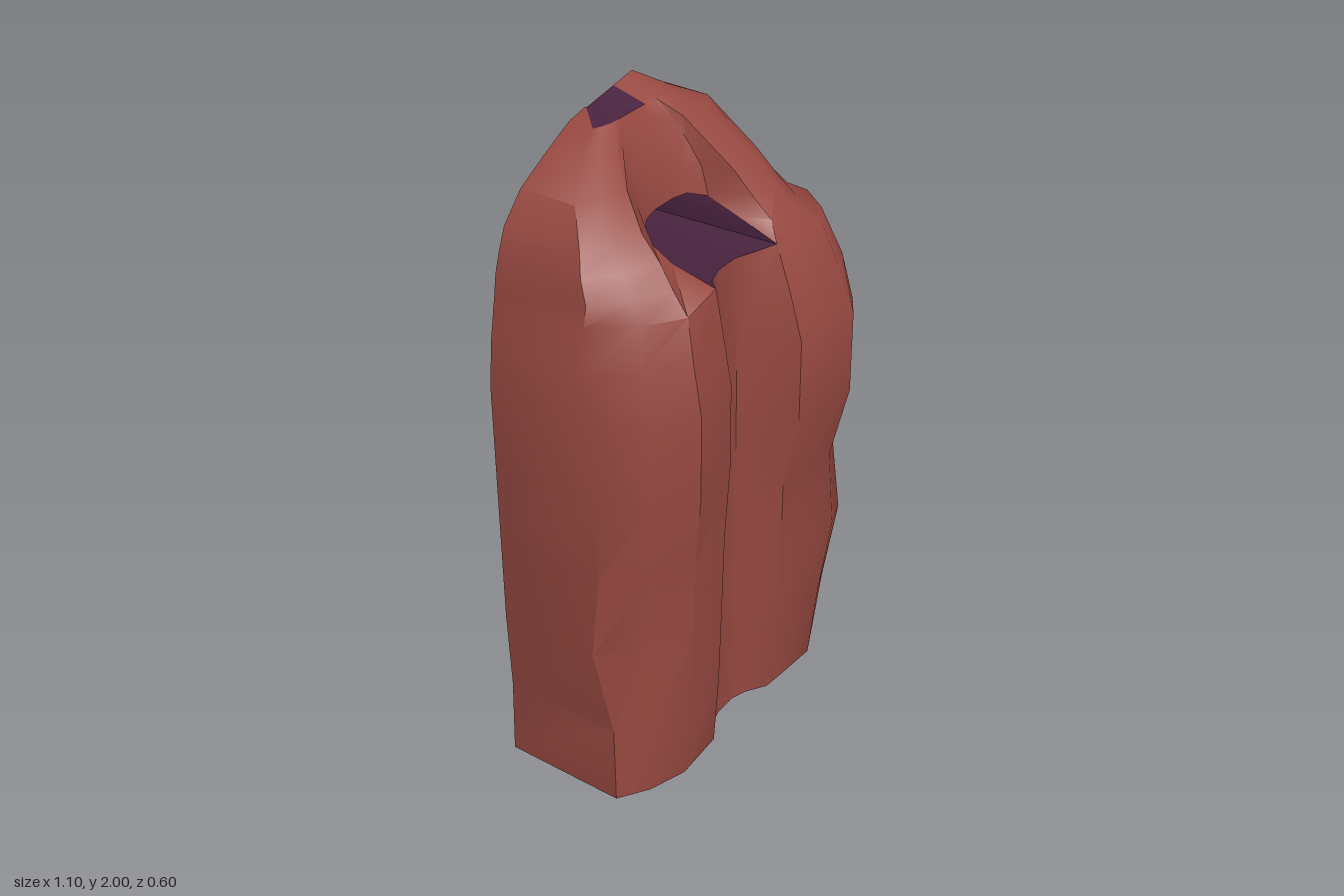
import * as THREE from 'three';
import { toCreasedNormals } from 'three/addons/utils/BufferGeometryUtils.js';

const BACK = -0.3;

// Horizontal slices: y, left x, left corner z, left lobe z, groove z, right lobe z, right corner z, right x
const ROWS = [
  [0, -0.55, 0.09, 0.19, 0.12, 0.19, 0.04, 0.5],
  [0.25, -0.54, 0.08, 0.21, 0.12, 0.21, 0.11, 0.52],
  [0.52, -0.55, 0.02, 0.22, 0.12, 0.24, 0.15, 0.55],
  [0.8, -0.55, 0.05, 0.23, 0.12, 0.24, 0.13, 0.5],
  [1.05, -0.55, 0.05, 0.25, 0.12, 0.3, 0.16, 0.5],
  [1.31, -0.55, 0.03, 0.25, 0.12, 0.3, 0.15, 0.5],
  [1.45, -0.535, 0, 0.22, 0.12, 0.25, 0.14, 0.49],
  [1.58, -0.51, 0, 0.19, 0.11, 0.19, 0.05, 0.48],
  [1.64, -0.5, 0, 0.14, 0.02, 0.14, 0.04, 0.385],
  [1.7, -0.48, -0.03, 0.09, -0.1, 0.08, -0.05, 0.38],
  [1.76, -0.455, -0.05, 0.02, -0.11, 0.02, -0.1, 0.37],
  [1.84, -0.38, -0.12, -0.06, -0.14, -0.07, -0.14, 0.32],
  [1.9, -0.27, -0.18, -0.14, -0.17, -0.13, -0.16, 0.275],
  [1.95, -0.17, -0.22, -0.2, -0.2, -0.19, -0.22, 0.18],
  [1.982, -0.1, -0.295, -0.295, -0.295, -0.295, -0.295, 0.105],
];

// Columns between the two corners: nominal x, and how far the lobe rises out of the groove
const COLS = [
  [-0.46, 1], [-0.34, 1], [-0.17, 0.85], [-0.12, 0.25], [-0.06, 0],
  [0.02, 0], [0.07, 0.25], [0.13, 0.8], [0.22, 0.9], [0.35, 1], [0.43, 1],
];

// The opening takes these rows and columns out of the front
const HOLE = { r0: 7, r1: 9, c0: 4, c1: 9 };

function slice([y, xl, zl, pl, groove, pr, zr, xr], r) {
  const points = [new THREE.Vector3(xl, y, BACK), new THREE.Vector3(xl, y, zl)];
  COLS.forEach(([u, rise], i) => {
    const left = u < 0;
    const s = left ? xl / -0.55 : xr / 0.5;
    const inner = Math.abs(u) < 0.2;
    const x = u * (inner ? Math.min(1, 1.4 * s) : s);
    const lift = inner && y > 1.6 ? rise * 0.3 : rise;
    let z = THREE.MathUtils.lerp(groove, left ? pl : pr, lift);
    if (i === 0) z = THREE.MathUtils.lerp(pl, zl, 0.4);
    if (i === COLS.length - 1) z = THREE.MathUtils.lerp(pr, zr, 0.35);
    points.push(new THREE.Vector3(x, y, z));
  });
  points.push(new THREE.Vector3(xr, y, zr), new THREE.Vector3(Math.min(xr, 0.5), y, BACK));
  // The crest tilts up to the right
  if (r === ROWS.length - 1) points.forEach((p) => { p.y += 0.018 * p.x / 0.105; });
  return points;
}

function quad(out, a, b, c, d) {
  for (const p of [a, b, c, a, c, d]) out.push(p.x, p.y, p.z);
}

function creased(positions, angle) {
  const g = new THREE.BufferGeometry();
  g.setAttribute('position', new THREE.Float32BufferAttribute(positions, 3));
  return toCreasedNormals(g, angle);
}

export function createModel() {
  const group = new THREE.Group();
  const red = new THREE.MeshStandardMaterial({ color: 0x964840 });
  red.name = 'red rock';
  const purple = new THREE.MeshStandardMaterial({ color: 0x49233f });
  purple.name = 'dark purple rock';
  const add = (name, geometry, material) => {
    const mesh = new THREE.Mesh(geometry, material);
    mesh.name = name;
    group.add(mesh);
  };

  const P = ROWS.map(slice);
  const { r0, r1, c0, c1 } = HOLE;
  // Round off the corners of the opening
  for (const c of [c0, c1]) {
    P[r0][c].y += 0.015;
    P[r1][c].y -= 0.025;
  }
  P[r0 + 1][c0].x -= 0.02;

  // Front and sides, with a purple patch on the crest
  const body = [], crest = [];
  const last = ROWS.length - 2;
  for (let r = 0; r <= last; r++) {
    for (let c = 0; c < P[r].length - 1; c++) {
      if (r >= r0 && r < r1 && c >= c0 && c < c1) continue;
      const list = r === last && c > 0 && c < 8 ? crest : body;
      quad(list, P[r][c], P[r][c + 1], P[r + 1][c + 1], P[r + 1][c]);
    }
  }
  add('rockFace', creased(body, 0.65), red);
  add('crestPatch', creased(crest, 0.65), purple);

  // Tunnel from the front opening to a slightly smaller one at the back
  const ring = [
    ...P[r0].slice(c0, c1 + 1), P[r0 + 1][c1],
    ...P[r1].slice(c0, c1 + 1).reverse(), P[r0 + 1][c0],
  ];
  const backRing = ring.map((p) => new THREE.Vector3(
    -0.025 + (p.x + 0.025) * 0.8, 1.635 + (p.y - 1.64) * 0.88, BACK));
  const tunnel = [];
  ring.forEach((p, i) => {
    const j = (i + 1) % ring.length;
    quad(tunnel, p, ring[j], backRing[j], backRing[i]);
  });
  add('tunnel', creased(tunnel, 0.8), purple);

  // Flat back with the opening cut out
  const flip = (p) => new THREE.Vector2(-p.x, p.y);
  const end = P[0].length - 1;
  const outline = new THREE.Shape([
    ...P.map((row) => flip(row[0])),
    ...P.map((row) => flip(row[end])).reverse(),
  ]);
  outline.holes.push(new THREE.Path(backRing.map(flip)));
  add('back', new THREE.ShapeGeometry(outline).rotateY(Math.PI).translate(0, 0, BACK), red);

  // Underside
  const foot = new THREE.Shape(P[0].map((p) => new THREE.Vector2(p.x, p.z)));
  add('underside', new THREE.ShapeGeometry(foot).rotateX(Math.PI / 2), purple);

  return group;
}
